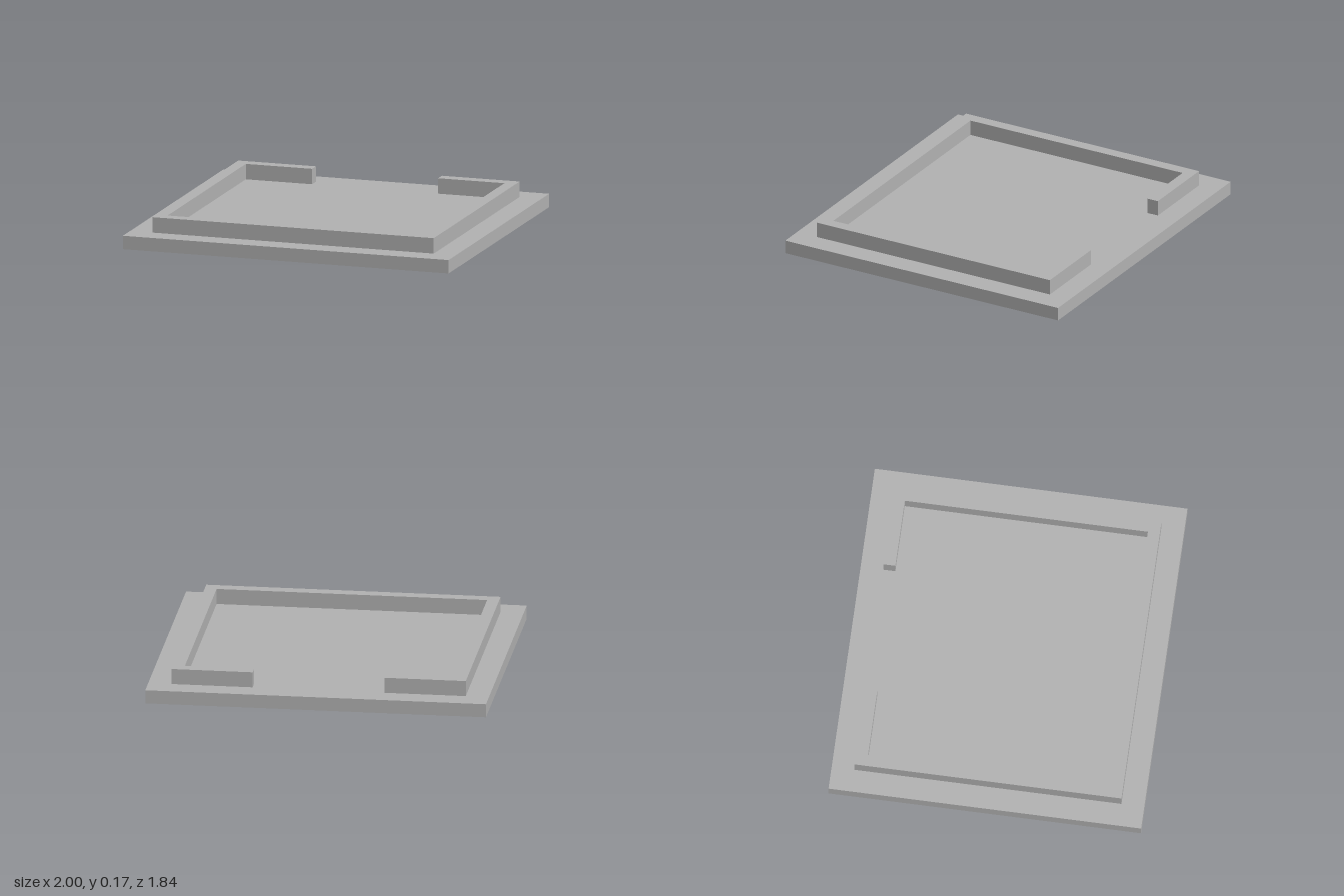
import * as THREE from 'three';

export function createModel() {
  const group = new THREE.Group();
  const grey = new THREE.MeshStandardMaterial({ color: 0xb2b2b2 });
  grey.name = 'grey';

  const baseTop = 0.08, wallTop = 0.172;

  // flat slab
  const base = new THREE.Mesh(new THREE.BoxGeometry(2, baseTop, 1.836), grey);
  base.name = 'base';
  base.position.y = baseTop / 2;
  group.add(base);

  // low wall around the slab, open in the middle of the back
  const ox = 0.864, oz = 0.784; // outer half sizes
  const ix = 0.794, iz = 0.714; // inner half sizes
  const gap = 0.387;            // half width of the opening
  const outline = [
    [-gap, oz], [-ox, oz], [-ox, -oz], [ox, -oz], [ox, oz], [gap, oz],
    [gap, iz], [ix, iz], [ix, -iz], [-ix, -iz], [-ix, iz], [-gap, iz],
  ].map(([x, y]) => new THREE.Vector2(x, y));
  const wallGeometry = new THREE.ExtrudeGeometry(new THREE.Shape(outline), {
    depth: wallTop - baseTop, bevelEnabled: false,
  });
  wallGeometry.rotateX(-Math.PI / 2); // shape +y becomes the back, -z
  const wall = new THREE.Mesh(wallGeometry, grey);
  wall.name = 'wall';
  wall.position.y = baseTop;
  group.add(wall);

  return group;
}
